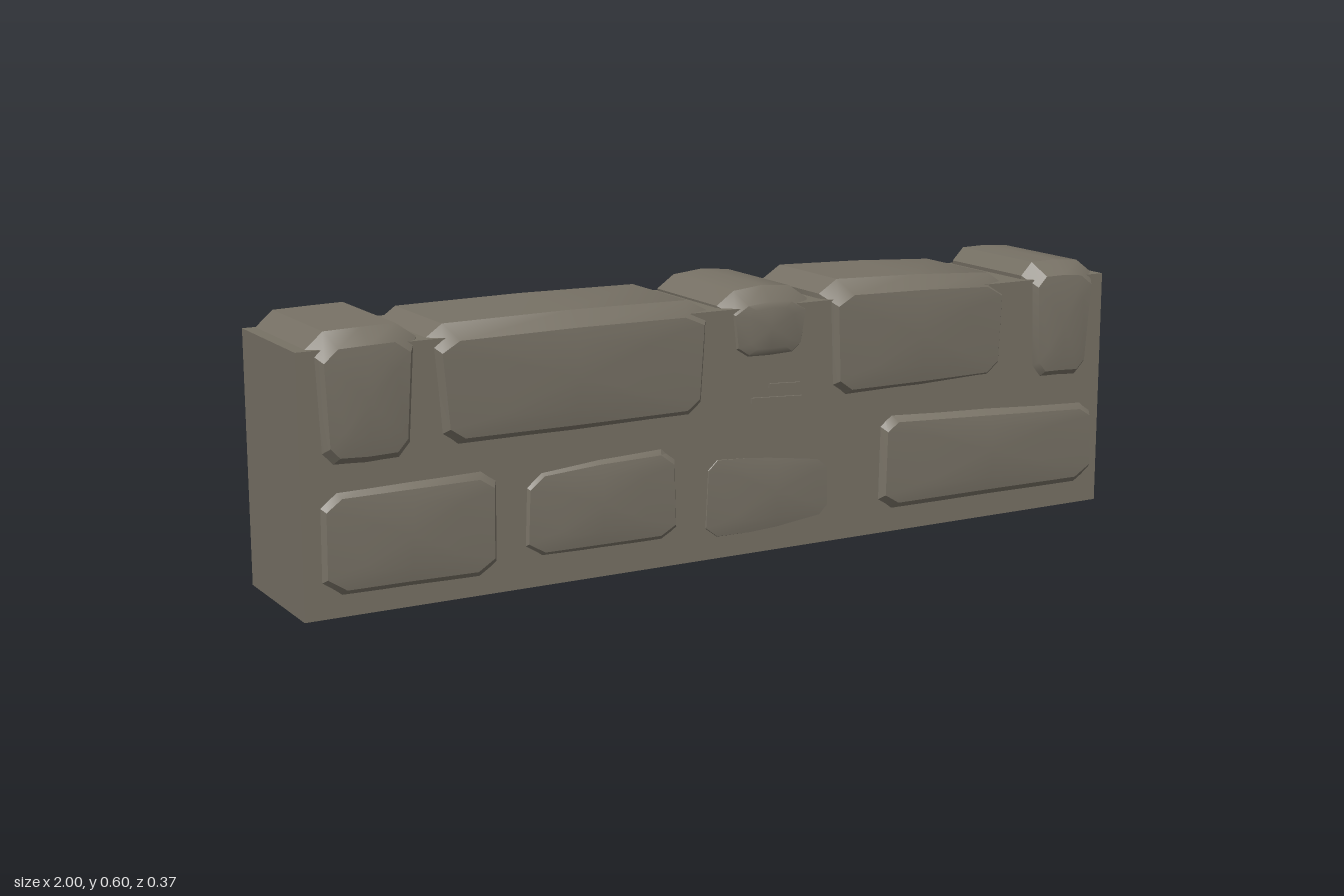
import * as THREE from 'three';
import { toCreasedNormals } from 'three/addons/utils/BufferGeometryUtils.js';

export function createModel() {
  const group = new THREE.Group();
  group.name = 'stoneWall';
  const stoneMat = new THREE.MeshStandardMaterial({ color: 0x777165 });
  stoneMat.name = 'grey brown stone';

  // small seeded jitter in -1..1
  let seed = 7;
  const jitter = () => {
    seed = (seed * 16807) % 2147483647;
    return (seed / 2147483647) * 2 - 1;
  };

  function add(name, geometry) {
    const mesh = new THREE.Mesh(geometry, stoneMat);
    mesh.name = name;
    group.add(mesh);
    return mesh;
  }

  // counter-clockwise irregular block outline with cut corners
  function outline(x0, x1, y0, yL, yR, j = 0.007, flare = 0) {
    const cx = Math.min(0.035, (x1 - x0) * 0.15);
    const cy = Math.min(0.03, (yL - y0) * 0.18);
    const mid = (x0 + x1) / 2;
    const pts = [
      [x0 + cx, y0], [mid, y0], [x1 - cx, y0], [x1, y0 + cy],
      [x1 + flare, yR - cy], [x1 - cx, yR], [mid, (yL + yR) / 2 + 0.003],
      [x0 + cx, yL], [x0 - flare, yL - cy], [x0, y0 + cy],
    ];
    return pts.map(([x, y]) => [x + jitter() * j, y + jitter() * j * 0.6]);
  }

  // worn block: outline lofted along z, bevelled and slightly domed at both ends
  function stone(name, pts, zBack, zFront, tilt = 0) {
    const xs = pts.map((p) => p[0]), ys = pts.map((p) => p[1]);
    const cx = (Math.min(...xs) + Math.max(...xs)) / 2;
    const cy = (Math.min(...ys) + Math.max(...ys)) / 2;
    const hw = Math.max(...xs) - cx, hh = Math.max(...ys) - cy;
    const inX = 0.025 / hw, inY = 0.032 / hh;
    // z, scale in x, scale in y, tilt direction
    const loops = [
      [zBack, 0.5, 0.5, -1],
      [zBack + 0.005, 1 - inX, 1 - inY, -1],
      [zBack + 0.042, 1, 1, 0],
      [zFront - 0.042, 1, 1, 0],
      [zFront - 0.005, 1 - inX, 1 - inY, 1],
      [zFront, 0.5, 0.5, 1],
    ];
    const n = pts.length, pos = [], idx = [];
    for (const [z, sx, sy, t] of loops) {
      for (const [x, y] of pts) {
        const dx = (x - cx) * sx;
        pos.push(cx + dx, cy + (y - cy) * sy, z + (t * tilt * dx) / hw);
      }
    }
    for (let i = 0; i < loops.length - 1; i++) {
      for (let k = 0; k < n; k++) {
        const a = i * n + k, b = i * n + ((k + 1) % n);
        idx.push(a, b, b + n, a, b + n, a + n);
      }
    }
    const last = (loops.length - 1) * n;
    pos.push(cx, cy, zBack, cx, cy, zFront);
    for (let k = 0; k < n; k++) {
      const m = (k + 1) % n;
      idx.push(pos.length / 3 - 2, m, k, pos.length / 3 - 1, last + k, last + m);
    }
    const geo = new THREE.BufferGeometry();
    geo.setAttribute('position', new THREE.Float32BufferAttribute(pos, 3));
    geo.setIndex(idx);
    return add(name, toCreasedNormals(geo, 0.55));
  }

  // plain mortar core
  add('core', new THREE.BoxGeometry(2, 0.549, 0.309)).position.set(0, 0.2815, 0.0075);

  // top course, full-depth blocks: x0, x1, bottom, top left, top right, back, front, tilt
  [
    [-0.965, -0.75, 0.305, 0.588, 0.592, -0.186, 0.184, -0.003],
    [-0.71, -0.075, 0.315, 0.583, 0.583, -0.147, 0.181, -0.004],
    [-0.02, 0.185, 0.42, 0.592, 0.592, -0.18, 0.17, -0.003],
    [0.235, 0.72, 0.32, 0.598, 0.578, -0.147, 0.177, -0.008],
    [0.785, 0.965, 0.305, 0.592, 0.592, -0.172, 0.182, 0.003],
  ].forEach(([x0, x1, y0, yL, yR, zb, zf, t]) =>
    stone('topStone', outline(x0, x1, y0, yL, yR, 0.005, 0.01), zb, zf, t));

  // lower course on the front: x0, x1, bottom, top left, top right, front, tilt
  [
    [-0.97, -0.565, 0.035, 0.282, 0.292, 0.181, 0.003],
    [-0.525, -0.135, 0.045, 0.27, 0.29, 0.177, 0.004],
    [-0.1, 0.3, 0.025, 0.26, 0.235, 0.166, -0.003],
    [0.36, 0.985, 0.045, 0.295, 0.265, 0.184, 0.002],
  ].forEach(([x0, x1, y0, yL, yR, zf, t]) =>
    stone('frontStone', outline(x0, x1, y0, yL, yR), 0, zf, t));

  // lower course on the back
  [
    [-0.98, -0.555, 0.025, 0.275, 0.27, -0.179, 0.003],
    [-0.545, -0.125, 0.03, 0.275, 0.28, -0.174, -0.003],
    [-0.105, 0.335, 0.025, 0.28, 0.295, -0.18, -0.003],
    [0.35, 0.965, 0.03, 0.28, 0.26, -0.174, 0.003],
  ].forEach(([x0, x1, y0, yL, yR, zb, t]) =>
    stone('backStone', outline(x0, x1, y0, yL, yR), zb, 0, t));

  // small chips between the courses
  [
    [0.1, 0.348, 0.161, 0.13, 0.012],
    [0.12, 0.378, 0.161, 0.08, 0.01],
    [0.09, 0.335, -0.147, 0.2, 0.04],
  ].forEach(([x, y, z, w, h]) => {
    const chip = add('chip', new THREE.BoxGeometry(w, h, 0.014));
    chip.position.set(x, y, z);
    chip.rotation.z = -0.05;
  });

  // slight bulge under the base
  add('baseBulge', new THREE.BoxGeometry(0.13, 0.014, 0.045)).position.set(0.585, 0.007, -0.1);

  return group;
}
